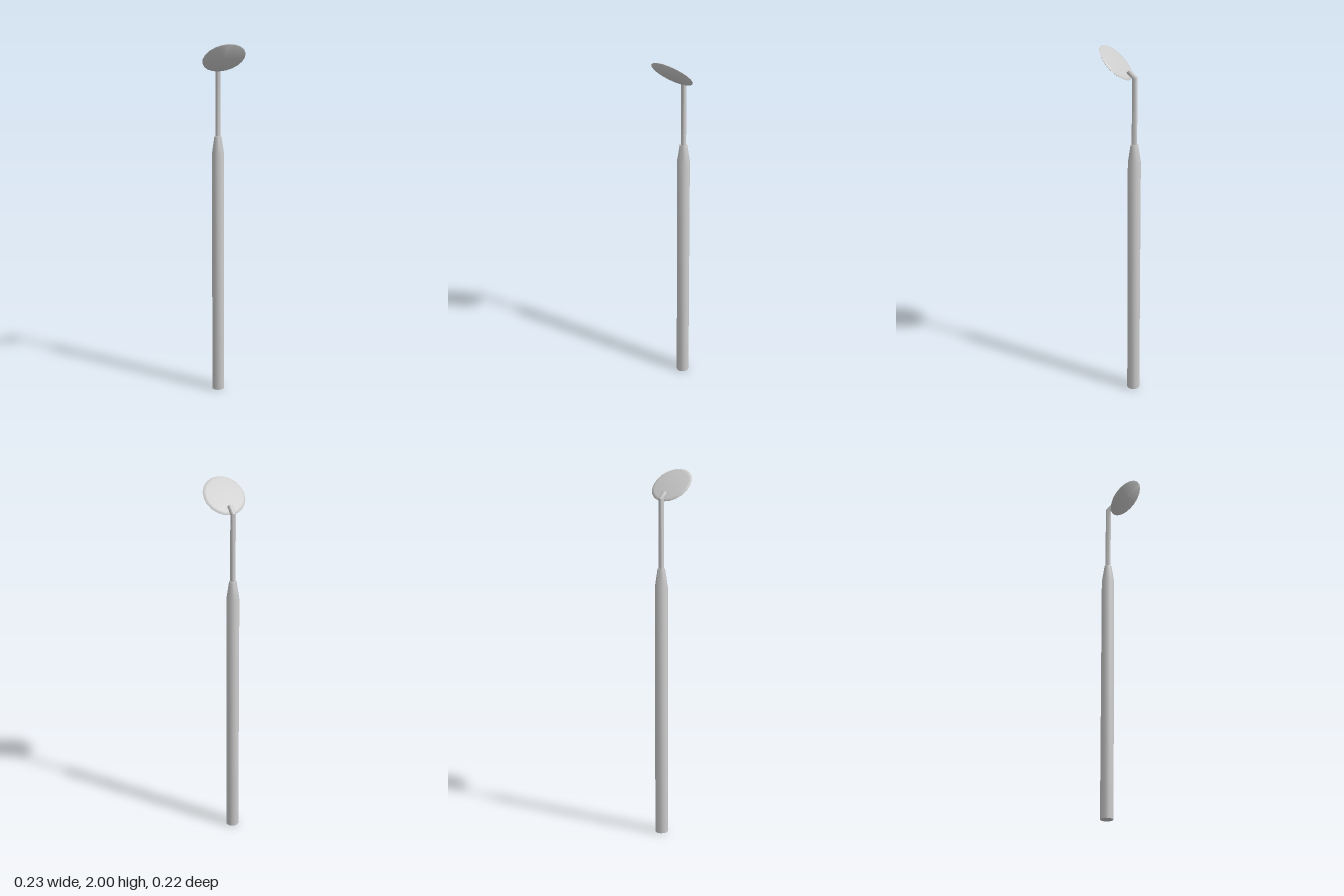
import * as THREE from 'three';
import { toCreasedNormals } from 'three/addons/utils/BufferGeometryUtils.js';

const AXIS_Z = -0.078; // handle and stem share this axis
const SIDES = 10;

function addPart(group, name, geometry, crease = 0.7) {
  const material = new THREE.MeshStandardMaterial({ color: 0xcccccc });
  const mesh = new THREE.Mesh(toCreasedNormals(geometry, crease), material);
  mesh.name = name;
  group.add(mesh);
  return mesh;
}

function lathe(profile, sides, start = 0) {
  return new THREE.LatheGeometry(profile.map(([r, y]) => new THREE.Vector2(r, y)), sides, start);
}

// Straight cylinder whose three rings become the foot, mitred elbow and tip
function bentStem(radius, footY, elbowY, tipLength) {
  const geometry = new THREE.CylinderGeometry(radius, radius, 2, SIDES, 2);
  geometry.rotateY(Math.PI / SIDES);
  const pos = geometry.attributes.position;
  const s = Math.SQRT1_2;
  for (let i = 0; i < pos.count; i++) {
    const ring = Math.round(pos.getY(i));
    const z = pos.getZ(i);
    if (ring < 0) pos.setY(i, footY);
    else if (ring === 0) pos.setY(i, elbowY - z * Math.tan(Math.PI / 8));
    else {
      pos.setY(i, elbowY + s * (tipLength - z));
      pos.setZ(i, s * (tipLength + z));
    }
  }
  return geometry;
}

export function createModel() {
  const group = new THREE.Group();
  group.name = 'dentalMirror';

  // Long handle with tapered neck
  const handle = addPart(group, 'handle', lathe(
    [[0, 0], [0.035, 0], [0.035, 1.38], [0.02, 1.48], [0, 1.48]], SIDES, Math.PI / SIDES));
  handle.position.z = AXIS_Z;

  // Thin stem bent forward to lie along the back of the head
  const stem = addPart(group, 'stem', bentStem(0.0145, 1.47, 1.846, 0.049));
  stem.position.z = AXIS_Z;

  // Tilted round head: flat mirror face below, slightly domed back above
  const head = addPart(group, 'mirrorHead', lathe(
    [[0, -0.005], [0.111, -0.005], [0.117, -0.001], [0.113, 0.003], [0.1, 0.005], [0, 0.006]], 20), 0.8);
  head.position.set(0, 1.919, 0.024);
  head.rotation.x = -Math.PI / 4;

  return group;
}
